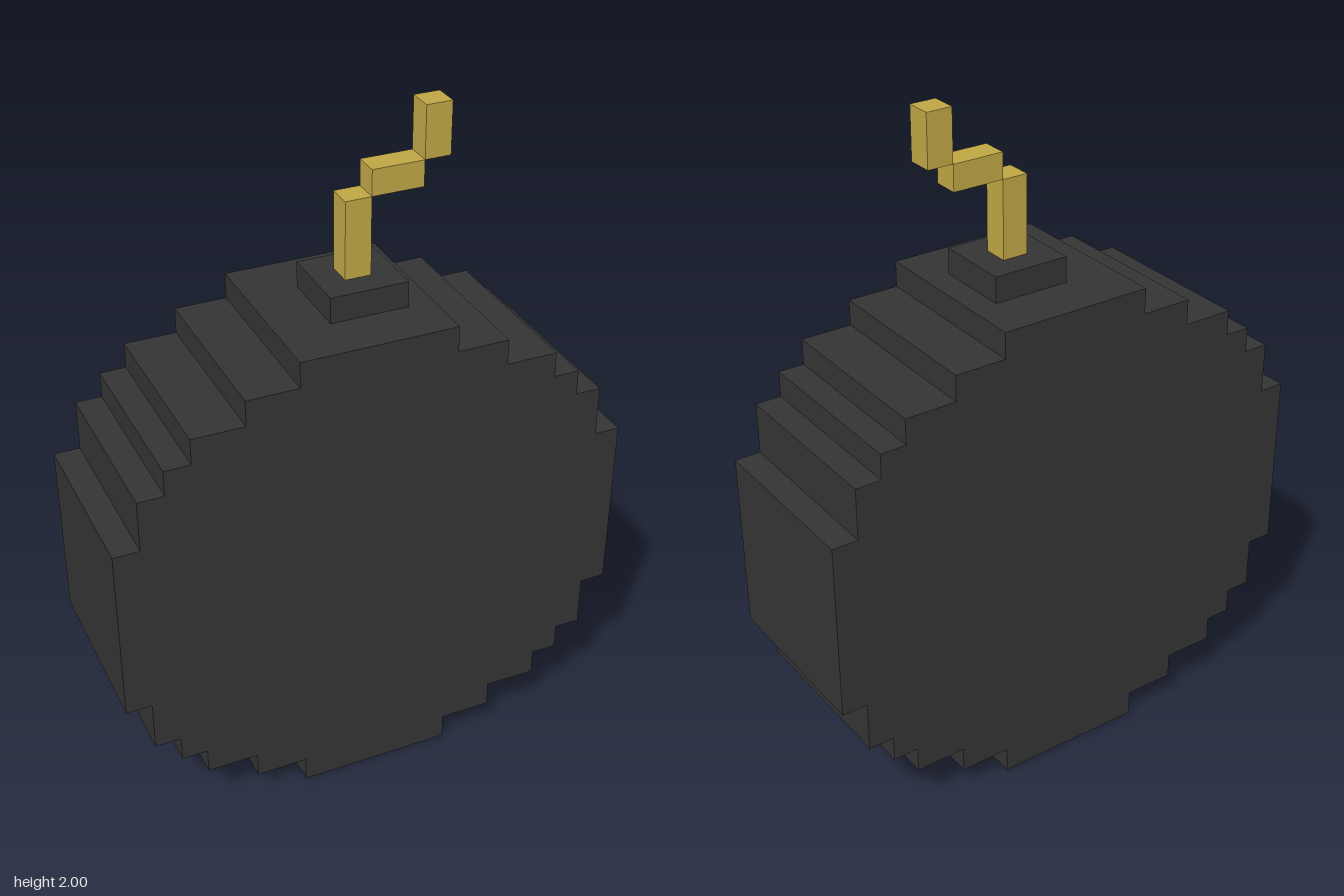
import * as THREE from 'three';

const U = 2 / 26; // one block of the pixel grid

export function createModel() {
  const model = new THREE.Group();
  model.name = 'bomb';

  const iron = new THREE.MeshStandardMaterial({ color: 0x343434 });
  iron.name = 'dark iron';
  const cord = new THREE.MeshStandardMaterial({ color: 0xbfa645 });
  cord.name = 'golden cord';

  // Box given by its block ranges in x and y and its depth, centred on z
  function block(name, x0, x1, y0, y1, depth, material) {
    const mesh = new THREE.Mesh(
      new THREE.BoxGeometry((x1 - x0) * U, (y1 - y0) * U, depth * U), material);
    mesh.position.set((x0 + x1) / 2 * U, (y0 + y1) / 2 * U, 0);
    mesh.name = name;
    return mesh;
  }

  // Body: stepped disc, rows of [half width, bottom, top] in blocks
  const rows = [
    [3, 0, 1], [5, 1, 2], [7, 2, 3], [8, 3, 4], [9, 4, 6], [10, 6, 13],
    [9, 13, 15], [8, 15, 16], [7, 16, 17], [5, 17, 18], [3, 18, 19],
  ];
  const right = rows.flatMap(([w, y0, y1]) => [
    new THREE.Vector2(w * U, y0 * U), new THREE.Vector2(w * U, y1 * U)]);
  const left = right.map((p) => new THREE.Vector2(-p.x, p.y)).reverse();
  const bodyGeometry = new THREE.ExtrudeGeometry(
    new THREE.Shape([...right, ...left]), { depth: 7 * U, bevelEnabled: false });
  bodyGeometry.translate(0, 0, -3.5 * U);
  const body = new THREE.Mesh(bodyGeometry, iron);
  body.name = 'body';
  model.add(body);

  // Cap under the fuse
  model.add(block('cap', -1, 2, 19, 20, 3, iron));

  // Zigzag fuse
  const fuse = new THREE.Group();
  fuse.name = 'fuse';
  fuse.add(
    block('fuseBase', 0, 1, 20, 23, 1, cord),
    block('fuseMiddle', 1, 3, 23, 24, 1, cord),
    block('fuseTip', 3, 4, 24, 26, 1, cord));
  model.add(fuse);

  return model;
}
